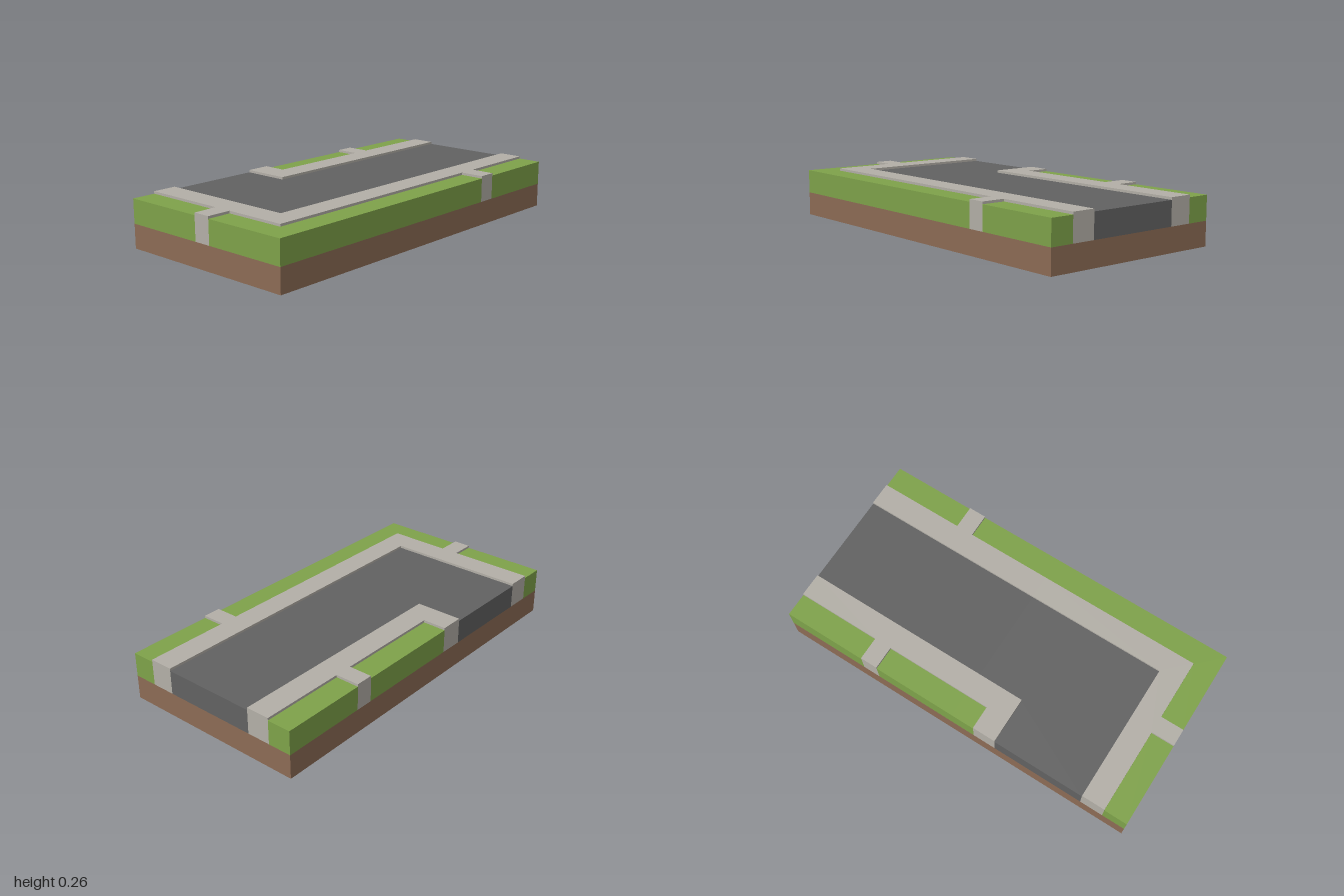
import * as THREE from 'three';

const SOIL_TOP = 0.125, GROUND = 0.25, KERB = 0.2625;
const PATH = 0.047; // half width of the small footpaths

const material = (name, color) =>
  new THREE.MeshStandardMaterial({ name, color, side: THREE.DoubleSide });

// Vertical wall panels below the outline; baseOf gives the lower height of each edge, or null for none
function skirt(points, top, baseOf) {
  const pos = [];
  points.forEach((a, i) => {
    const b = points[(i + 1) % points.length];
    const base = baseOf(a, b);
    if (base === null) return;
    const quad = [[b, base], [a, base], [a, top], [b, base], [a, top], [b, top]];
    for (const [p, y] of quad) pos.push(p[0], y, p[1]);
  });
  const geo = new THREE.BufferGeometry();
  geo.setAttribute('position', new THREE.Float32BufferAttribute(pos, 3));
  geo.computeVertexNormals();
  return geo;
}

// Flat sheet over an outline of [x, z] points, listed clockwise from above
function sheet(points, y) {
  const shape = new THREE.Shape(points.map(([x, z]) => new THREE.Vector2(x, -z)));
  return new THREE.ShapeGeometry(shape).rotateX(-Math.PI / 2).translate(0, y, 0);
}

const rect = (x0, x1, z0, z1) => [[x0, z0], [x1, z0], [x1, z1], [x0, z1]];
const mirror = (points) => points.map(([x, z]) => [-x, z]).reverse();

// Edges on the rim of a tile carry a full wall down to the soil
function onRim(a, b) {
  const sameX = a[0] === b[0] && Math.abs(a[0]) === 0.5;
  const sameZ = a[1] === b[1] && [-1, 0, 1].includes(a[1]);
  return sameX || sameZ;
}

export function createModel() {
  const model = new THREE.Group();
  model.name = 'roadCornerTile';
  const grassMat = material('grass green', 0x7fa34a);
  const soilMat = material('soil brown', 0x8d6c55);
  const paveMat = material('pavement grey', 0xb4b0a8);
  const roadMat = material('asphalt grey', 0x626262);

  function region(parent, name, points, top, mat) {
    const group = new THREE.Group();
    group.name = name;
    const surface = new THREE.Mesh(sheet(points, top), mat);
    surface.name = name + 'Top';
    const walls = new THREE.Mesh(
      skirt(points, top, (a, b) => (onRim(a, b) ? SOIL_TOP : top > GROUND ? GROUND : null)), mat);
    walls.name = name + 'Walls';
    group.add(surface, walls);
    parent.add(group);
  }

  // Open-bottomed soil frame of one square tile
  function tile(name, z0, z1) {
    const group = new THREE.Group();
    group.name = name;
    const soil = new THREE.Mesh(skirt(rect(-0.5, 0.5, z0, z1), SOIL_TOP, () => 0), soilMat);
    soil.name = 'soilFrame';
    group.add(soil);
    model.add(group);
    return group;
  }

  // Straight tile at the back, the same on both sides of the road
  const straight = tile('straightTile', -1, 0);
  region(straight, 'road', rect(-0.25, 0.25, -1, 0), GROUND, roadMat);
  const near = -0.5 + PATH, far = -0.5 - PATH;
  const rightSide = [
    ['backLawn', rect(0.375, 0.5, -1, far), GROUND, grassMat],
    ['middleLawn', rect(0.375, 0.5, near, 0), GROUND, grassMat],
    ['pavement', [[0.25, -1], [0.375, -1], [0.375, far], [0.5, far], [0.5, near],
      [0.375, near], [0.375, 0], [0.25, 0]], KERB, paveMat],
  ];
  for (const [name, points, top, mat] of rightSide) {
    region(straight, name + 'Left', points, top, mat);
    region(straight, name + 'Right', mirror(points), top, mat);
  }

  // Corner tile at the front, where the road turns to -x
  const corner = tile('cornerTile', 0, 1);
  region(corner, 'roadBend', [[-0.25, 0], [0.25, 0], [0.25, 0.75], [-0.5, 0.75],
    [-0.5, 0.25], [-0.25, 0.25]], GROUND, roadMat);
  region(corner, 'innerPavement', [[-0.375, 0], [-0.25, 0], [-0.25, 0.25], [-0.5, 0.25],
    [-0.5, 0.125], [-0.375, 0.125]], KERB, paveMat);
  region(corner, 'outerPavement', [[0.25, 0], [0.375, 0], [0.375, 0.875], [PATH, 0.875],
    [PATH, 1], [-PATH, 1], [-PATH, 0.875], [-0.5, 0.875], [-0.5, 0.75], [0.25, 0.75]],
  KERB, paveMat);
  region(corner, 'innerLawn', rect(-0.5, -0.375, 0, 0.125), GROUND, grassMat);
  region(corner, 'frontLawn', rect(-0.5, -PATH, 0.875, 1), GROUND, grassMat);
  region(corner, 'outerLawn', [[0.375, 0], [0.5, 0], [0.5, 1], [PATH, 1],
    [PATH, 0.875], [0.375, 0.875]], GROUND, grassMat);

  return model;
}
